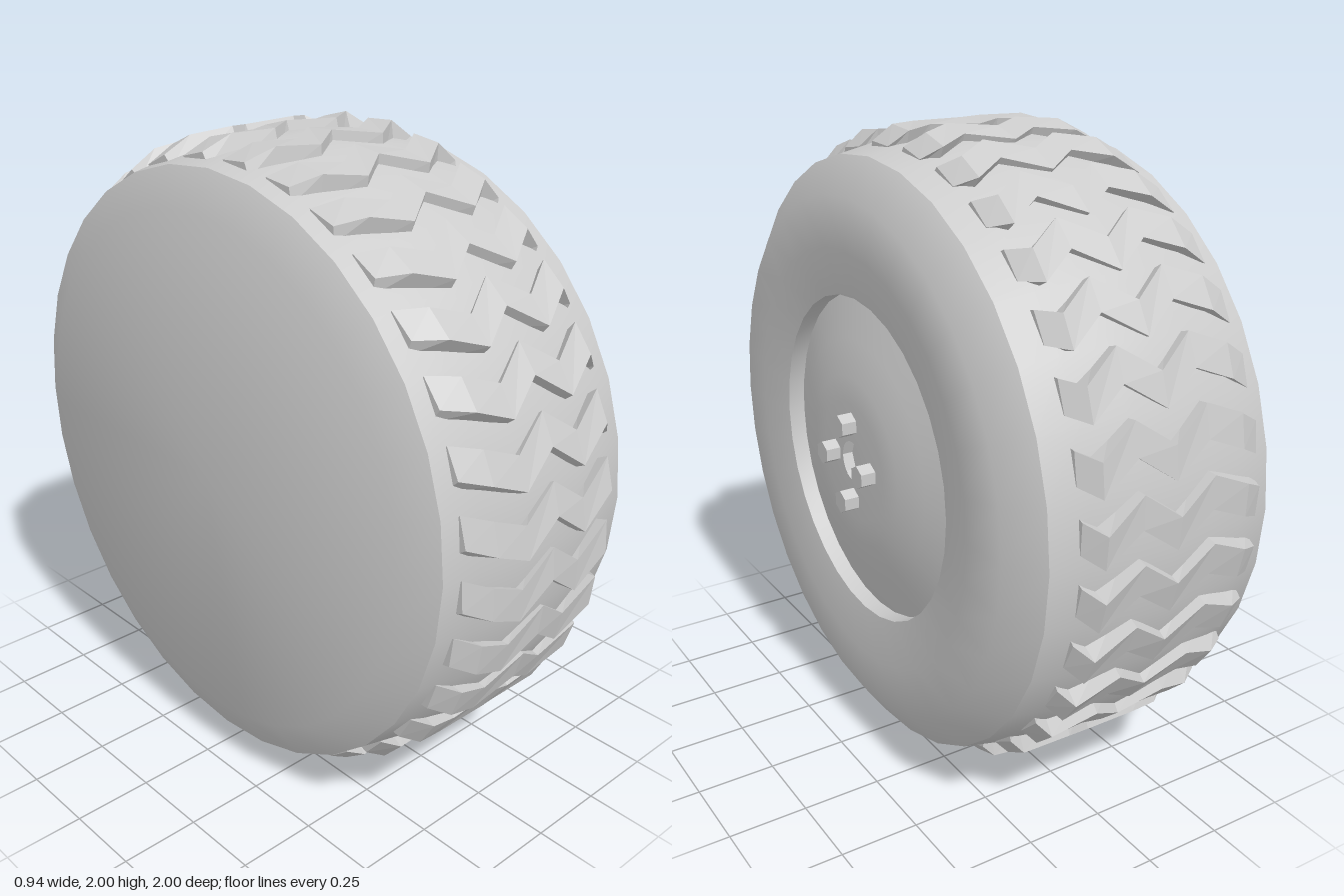
import * as THREE from 'three';
import { mergeGeometries, toCreasedNormals } from 'three/addons/utils/BufferGeometryUtils.js';

const TREADS = 32;

// Profile points are [x along the axle, radius], from the back to the outer side
function turned(profile, segments) {
  const pts = profile.map(([x, r]) => new THREE.Vector2(r, x));
  return new THREE.LatheGeometry(pts, segments).rotateZ(-Math.PI / 2);
}

// One raised zigzag tread bar, swept across the tyre and leaning around it
function treadBar() {
  // [x, angle of the lower edge, outer radius]
  const sections = [
    [-0.36, 0.088, 0.952], [-0.28, 0.052, 0.995], [-0.16, 0, 1], [-0.04, 0.088, 1],
    [0.08, 0, 1], [0.2, 0.085, 0.998], [0.25, 0.045, 0.953],
  ];
  const width = 0.1, lean = 0.025, inner = 0.91;
  const loops = sections.map(([x, a, r]) => [
    [inner, a - lean], [r, a], [r - 0.012, a + width], [inner, a + width - lean],
  ].map(([rad, t]) => [x, rad * Math.sin(t), rad * Math.cos(t)]));

  const pos = [];
  const quad = (a, b, c, d) => pos.push(...a, ...b, ...c, ...a, ...c, ...d);
  for (let i = 0; i < loops.length - 1; i++) {
    for (let k = 0; k < 4; k++) {
      const n = (k + 1) % 4;
      quad(loops[i][k], loops[i + 1][k], loops[i + 1][n], loops[i][n]);
    }
  }
  quad(...loops[0]);
  quad(...loops[loops.length - 1].slice().reverse());
  const geo = new THREE.BufferGeometry();
  geo.setAttribute('position', new THREE.Float32BufferAttribute(pos, 3));
  geo.computeVertexNormals();
  return geo;
}

export function createModel() {
  const model = new THREE.Group();
  model.name = 'wheel';
  const wheel = new THREE.Group();
  wheel.name = 'wheelAssembly';
  wheel.position.y = 1;
  model.add(wheel);

  const grey = new THREE.MeshStandardMaterial({ color: 0xcccccc });
  grey.name = 'grey';
  const add = (name, geo) => {
    const mesh = new THREE.Mesh(geo, grey);
    mesh.name = name;
    wheel.add(mesh);
    return mesh;
  };

  // Tyre body: closed back, crowned tread bed, sidewall and bevelled lip
  add('tyre', toCreasedNormals(turned([
    [-0.47, 0], [-0.47, 0.81], [-0.415, 0.925], [-0.3, 0.948], [-0.16, 0.97],
    [-0.04, 0.976], [0.08, 0.97], [0.22, 0.948], [0.335, 0.925],
    [0.41, 0.815], [0.42, 0.66], [0.395, 0.515], [0.34, 0.515],
  ], 32), 0.7));

  // Tread bars around the tyre
  const bar = treadBar();
  const bars = [];
  for (let i = 0; i < TREADS; i++) {
    bars.push(bar.clone().rotateX(-0.01 - (i * Math.PI * 2) / TREADS));
  }
  add('treadBars', mergeGeometries(bars));

  // Domed rim plate set inside the lip
  add('rimPlate', turned([
    [0.34, 0.516], [0.385, 0.38], [0.412, 0.27], [0.419, 0.19], [0.42, 0.065],
  ].reverse().map((p) => p).reverse(), 32));

  // Octagonal axle recess
  add('axleRecess', toCreasedNormals(turned([[0.42, 0.07], [0.385, 0.07], [0.385, 0]], 8), 0.3));

  // Four hexagonal wheel bolts
  const boltGeo = toCreasedNormals(
    new THREE.CylinderGeometry(0.037, 0.037, 0.06, 6).rotateY(Math.PI / 6).rotateZ(-Math.PI / 2), 0.3);
  for (let i = 0; i < 4; i++) {
    const a = (i * Math.PI) / 2;
    add('bolt', boltGeo).position.set(0.437, Math.sin(a) * 0.125, Math.cos(a) * 0.115);
  }
  return model;
}
